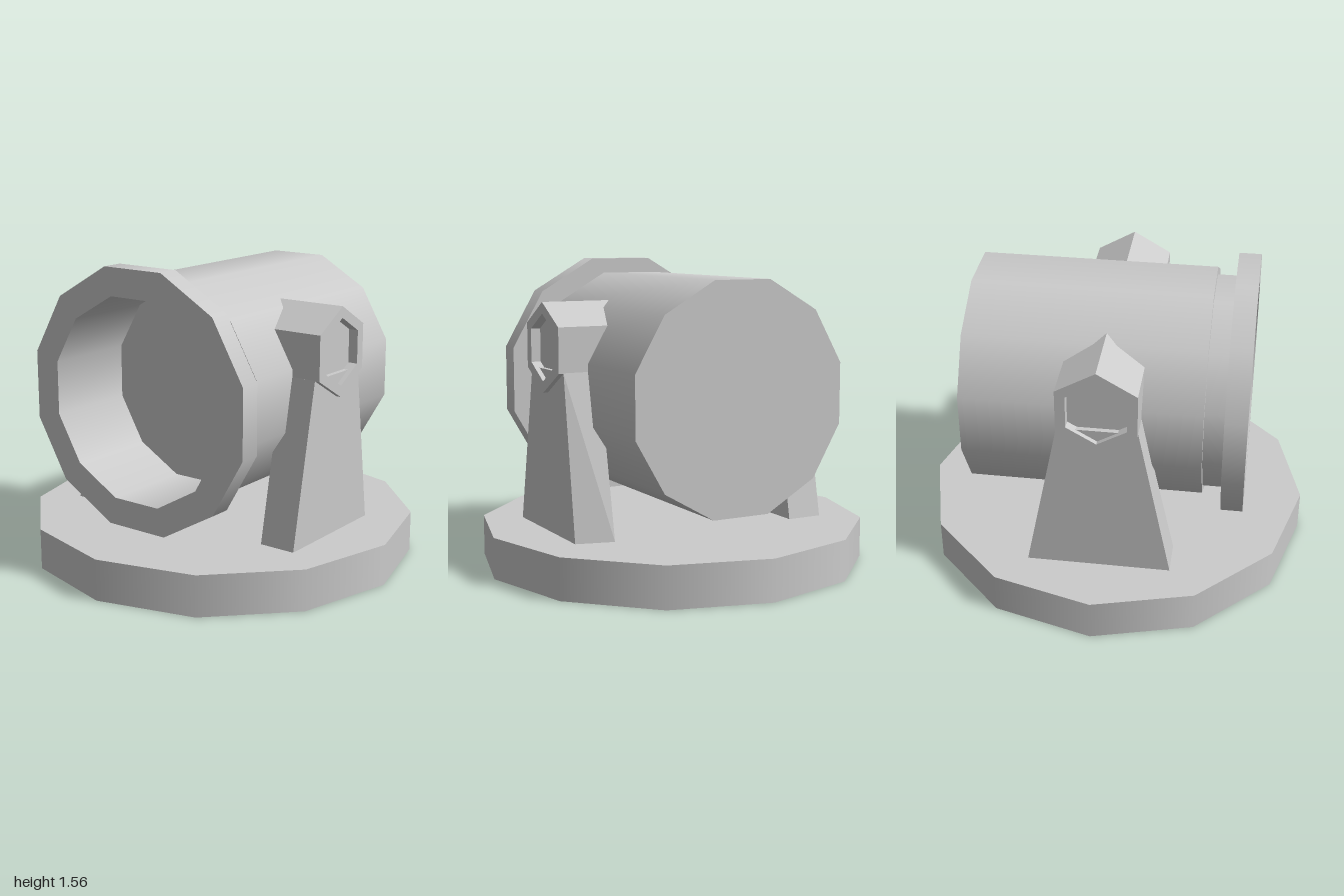
import * as THREE from 'three';
import { mergeGeometries } from 'three/addons/utils/BufferGeometryUtils.js';
import { ConvexGeometry } from 'three/addons/geometries/ConvexGeometry.js';

const smooth = new THREE.MeshStandardMaterial({ color: 0xcccccc });
const faceted = new THREE.MeshStandardMaterial({ color: 0xcccccc, flatShading: true });

// Turned solid with a hard edge at every profile point
function turned(profile, sides, phiStart) {
  const points = profile.map(([r, y]) => new THREE.Vector2(r, y));
  const bands = [];
  for (let i = 0; i < points.length - 1; i++) {
    bands.push(new THREE.LatheGeometry([points[i], points[i + 1]], sides, phiStart));
  }
  return mergeGeometries(bands);
}

export function createModel() {
  const model = new THREE.Group();
  const add = (name, geometry, material) => {
    const mesh = new THREE.Mesh(geometry, material);
    mesh.name = name;
    model.add(mesh);
    return mesh;
  };

  // Twelve-sided base plate
  add('base', new THREE.CylinderGeometry(1, 1, 0.21, 12).translate(0, 0.105, 0), smooth);

  // Drum with stepped neck, front rim and hollow mouth
  const c = Math.cos(Math.PI / 12); // profile radii are measured to the flats
  const drumProfile = [
    [0, -0.7], [0.57, -0.7], [0.57, 0.49], [0.533, 0.49], [0.533, 0.59],
    [0.645, 0.59], [0.645, 0.7], [0.505, 0.7], [0.505, 0.22], [0, 0.22],
  ].map(([r, z]) => [r / c, z]);
  const drum = turned(drumProfile, 12, Math.PI / 12).rotateX(Math.PI / 2);
  add('drum', drum.translate(0, 0.915, 0), smooth);

  // Hexagonal pivots with recessed ends
  const pivotProfile = [[0, 0.35], [0.225, 0.35], [0.225, 0.725], [0.168, 0.725], [0.168, 0.675], [0, 0.675]];
  const pivot = turned(pivotProfile, 6, Math.PI / 6).rotateZ(-Math.PI / 2).translate(0, 1.14, 0);
  add('leftPivot', pivot, faceted);
  add('rightPivot', pivot, faceted).rotation.y = Math.PI;

  // Tapered support arms, each with one corner slightly skewed
  const arm = (name, side, outerBackZ, innerFrontTopX) => {
    const corners = [
      [0.7, 0.21, 0.36], [0.7, 0.21, outerBackZ], [0.51, 0.21, 0.36], [0.51, 0.21, -0.36],
      [0.7, 1.03, 0.195], [0.7, 1.03, -0.195], [innerFrontTopX, 1.03, 0.195], [0.51, 1.03, -0.195],
    ].map(([x, y, z]) => new THREE.Vector3(side * x, y, z));
    add(name, new ConvexGeometry(corners), faceted);
  };
  arm('leftArm', 1, -0.31, 0.51);
  arm('rightArm', -1, -0.36, 0.56);

  return model;
}
